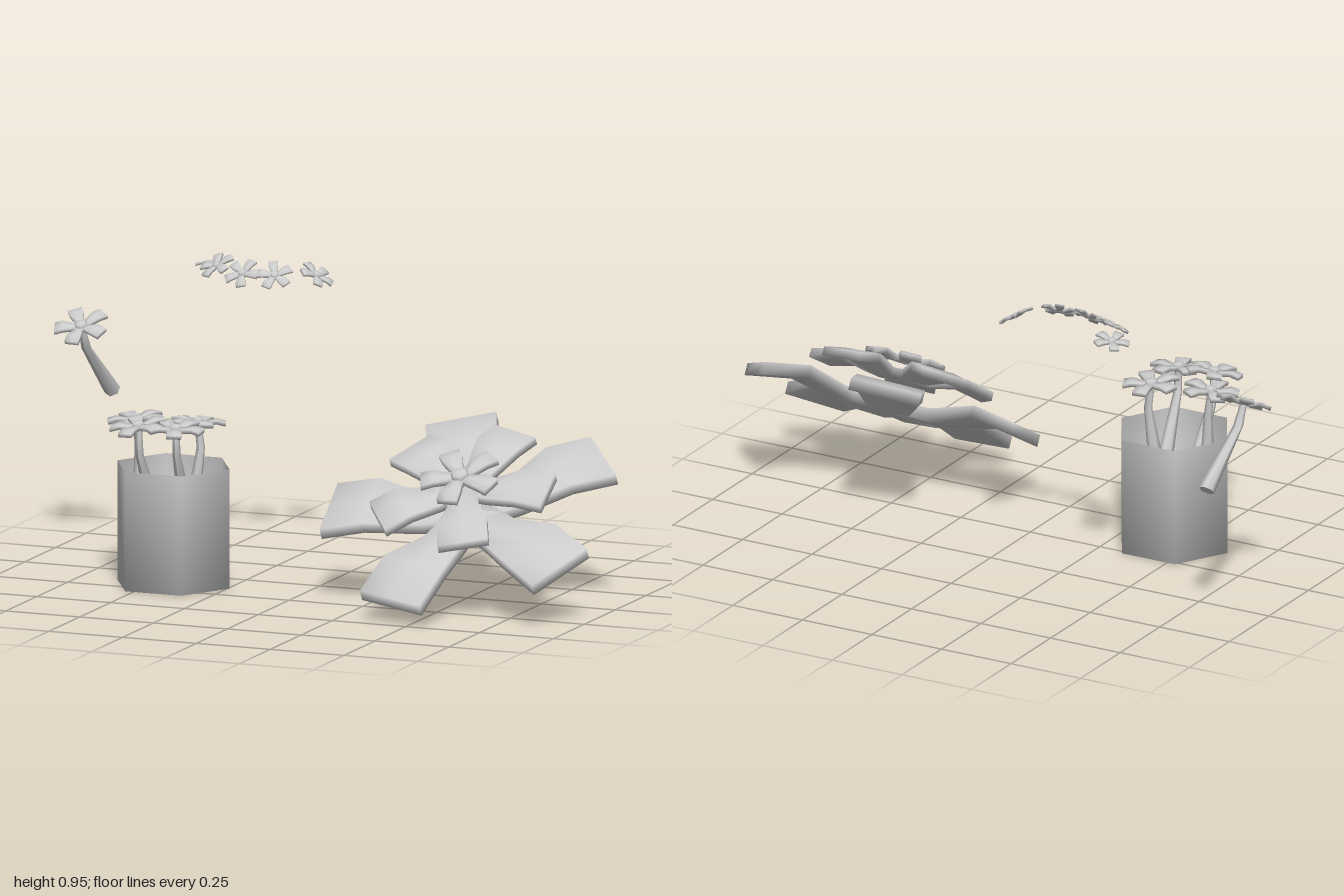
import * as THREE from 'three';
import { mergeVertices } from 'three/addons/utils/BufferGeometryUtils.js';

const grey = new THREE.MeshStandardMaterial({ color: 0xcccccc });
const greyOpen = new THREE.MeshStandardMaterial({ color: 0xcccccc, side: THREE.DoubleSide });
const rad = THREE.MathUtils.degToRad;

// Unit petal: a soft slab that narrows at the neck, arches up and widens to a blunt tip
function petalGeometry(width, thickness) {
  const reach = [0.03, 0.32, 0.68, 1];
  const half = [0.13, 0.15, 0.24, 0.245];
  const lift = [0, -0.01, 0.07, 0.01];
  const box = new THREE.BoxGeometry(1, 1, 1, 3, 1, 2);
  box.deleteAttribute('normal');
  box.deleteAttribute('uv');
  const g = mergeVertices(box);
  const p = g.attributes.position;
  for (let i = 0; i < p.count; i++) {
    const s = Math.round((p.getX(i) + 0.5) * 3);
    p.setXYZ(i, reach[s], lift[s] + p.getY(i) * thickness, p.getZ(i) * 2 * half[s] * width);
  }
  g.computeVertexNormals();
  return g;
}
const largePetal = petalGeometry(1, 0.085);
const mediumPetal = petalGeometry(1.15, 0.1);
const smallPetal = petalGeometry(1.1, 0.15);
const hubGeo = new THREE.SphereGeometry(0.27, 6, 4).scale(1, 0.6, 1);

// Ring of five petals; startDeg turns from +x towards +z
function petalRing(name, geometry, radius, startDeg) {
  const group = new THREE.Group();
  group.name = name;
  for (let i = 0; i < 5; i++) {
    const petal = new THREE.Mesh(geometry, grey);
    petal.name = 'petal';
    petal.rotation.y = -rad(startDeg + i * 72);
    group.add(petal);
  }
  group.scale.setScalar(radius);
  return group;
}

// Small flower: petal ring with a rounded centre
function flower(name, radius, startDeg) {
  const group = petalRing(name, smallPetal, radius, startDeg);
  const hub = new THREE.Mesh(hubGeo, grey);
  hub.name = 'flowerCentre';
  hub.position.y = 0.04;
  group.add(hub);
  return group;
}

// Bent stem through three points, thicker towards the end, which is cut square
function stem(points, radii) {
  const [, mid, end] = points;
  const slope = (end[2] - mid[2]) / (end[1] - mid[1]);
  const g = new THREE.CylinderGeometry(1, 1, 2, 6, 2);
  const p = g.attributes.position;
  for (let i = 0; i < p.count; i++) {
    const s = 1 - Math.round(p.getY(i));
    const tilt = s === 2 ? slope : 0;
    const dx = p.getX(i) * radii[s];
    const dz = p.getZ(i) * radii[s] / Math.hypot(1, tilt);
    const [x, y, z] = points[s];
    p.setXYZ(i, x + dx, y - dz * tilt, z + dz);
  }
  g.computeVertexNormals();
  const mesh = new THREE.Mesh(g, grey);
  mesh.name = 'stem';
  return mesh;
}

export function createModel() {
  const model = new THREE.Group();

  // Open six-sided pot
  const profile = [[0, 0], [0.19, 0], [0.19, 0.38]].map(([x, y]) => new THREE.Vector2(x, y));
  const pot = new THREE.Mesh(new THREE.LatheGeometry(profile, 6, Math.PI / 6), greyOpen);
  pot.name = 'pot';
  pot.position.set(-0.433, 0, 0.15);
  model.add(pot);

  // Flowers in the pot: x, y, z, tilt about x, tilt about z, turn
  const bouquet = new THREE.Group();
  bouquet.name = 'bouquet';
  const potted = [
    [-0.55, 0.523, 0.175, 3, 5, 10], [-0.355, 0.52, 0.14, -4, -2, 50],
    [-0.485, 0.528, 0.31, 10, 4, 25], [-0.365, 0.525, 0.295, 6, -3, 0],
  ];
  for (const [x, y, z, ax, az, turn] of potted) {
    const head = flower('pottedFlower', 0.088, turn);
    head.position.set(x, y, z);
    head.rotation.set(rad(ax), 0, rad(az));
    const bendZ = z > 0.25 ? z + 0.01 : z - 0.005;
    const endZ = z > 0.25 ? z - 0.1 : z + 0.01;
    bouquet.add(head, stem(
      [[x, y, z], [x + 0.008, 0.44, bendZ], [x + (-0.433 - x) * 0.15, 0.26, endZ]],
      [0.011, 0.013, 0.024]));
  }
  model.add(bouquet);

  // Single cut flower
  const cut = new THREE.Group();
  cut.name = 'cutFlower';
  const cutHead = flower('cutFlowerHead', 0.085, 20);
  cutHead.position.set(-0.92, 0.708, -0.268);
  cutHead.rotation.x = rad(29);
  cut.add(cutHead, stem(
    [[-0.92, 0.703, -0.27], [-0.912, 0.635, -0.29], [-0.895, 0.473, -0.458]],
    [0.011, 0.016, 0.026]));
  model.add(cut);

  // Garland of five small flowers, leaning outwards along an arc
  const garland = new THREE.Group();
  garland.name = 'garland';
  const strung = [
    [-0.55, 0.905, -0.452, -5, 10, 15], [-0.5, 0.918, -0.36, 28, 14, 40],
    [-0.395, 0.908, -0.315, 38, 4, 5], [-0.285, 0.91, -0.315, 36, -8, 30],
    [-0.18, 0.902, -0.405, 8, -33, 60],
  ];
  for (const [x, y, z, ax, az, turn] of strung) {
    const head = flower('garlandFlower', 0.056, turn);
    head.position.set(x, y, z);
    head.rotation.set(rad(ax), 0, rad(az));
    garland.add(head);
  }
  model.add(garland);

  // Large layered blossom, tilted to the front, with a small flower at its heart
  const blossom = new THREE.Group();
  blossom.name = 'largeBlossom';
  const outer = petalRing('outerPetals', largePetal, 0.46, 31);
  const middle = petalRing('middlePetals', mediumPetal, 0.285, -2);
  middle.position.y = 0.105;
  const heart = flower('innerPetals', 0.125, 18);
  heart.position.y = 0.155;
  blossom.add(outer, middle, heart);
  blossom.position.set(0.543, 0.283, 0.085);
  blossom.rotation.x = rad(29.5);
  model.add(blossom);

  return model;
}
